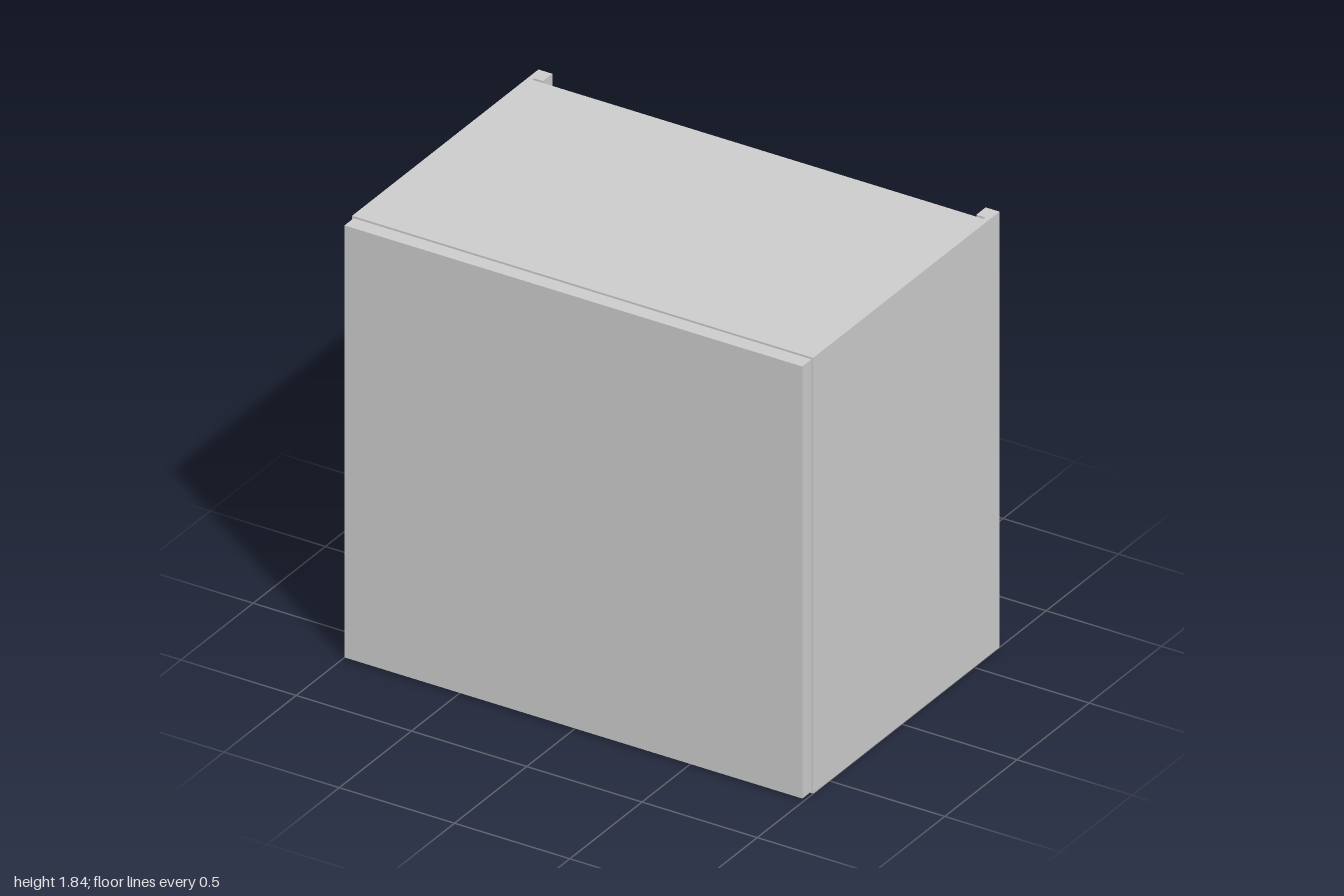
import * as THREE from 'three';

const W = 1, H = 1.84, T = 0.06;            // half width, height, board thickness
const BACK = -0.677, FRONT = 0.613;         // carcass depth range
const GROOVE_BACK = -0.612, GROOVE_FRONT = -0.6;

export function createModel() {
  const group = new THREE.Group();
  const material = new THREE.MeshStandardMaterial({ color: 0xcccccc });

  const add = (name, geometry) => {
    const mesh = new THREE.Mesh(geometry, material);
    mesh.name = name;
    group.add(mesh);
  };

  // Box given by its lower and upper limits
  const board = (name, x0, x1, y0, y1, z0, z1) => {
    const geometry = new THREE.BoxGeometry(x1 - x0, y1 - y0, z1 - z0);
    geometry.translate((x0 + x1) / 2, (y0 + y1) / 2, (z0 + z1) / 2);
    add(name, geometry);
  };

  // Side boards: plan outline with a groove for the back panel, extruded upwards
  const outline = [
    [W, BACK], [W, FRONT], [W - T, FRONT], [W - T, GROOVE_FRONT],
    [W - 0.02, GROOVE_FRONT], [W - 0.02, GROOVE_BACK], [W - T, GROOVE_BACK], [W - T, BACK],
  ];
  for (const [name, side] of [['leftSide', 1], ['rightSide', -1]]) {
    const shape = new THREE.Shape(outline.map(([x, z]) => new THREE.Vector2(side * x, -z)));
    const geometry = new THREE.ExtrudeGeometry(shape, { depth: H, bevelEnabled: false });
    geometry.rotateX(-Math.PI / 2);
    add(name, geometry);
  }

  // Bottom runs to the rear edge, top stops in front of the back panel
  const inner = W - T;
  board('bottomBoard', -inner, inner, 0, T, BACK, FRONT);
  board('topBoard', -inner, inner, H - T, H, GROOVE_FRONT, FRONT);

  // Thin back panel held in the side grooves
  board('backPanel', -0.968, 0.968, T - 0.015, H - 0.01, GROOVE_BACK, GROOVE_FRONT - 0.001);

  // Front door, slightly smaller than the carcass
  board('door', -0.993, 0.993, 0.008, H - 0.008, FRONT, 0.677);

  return group;
}
